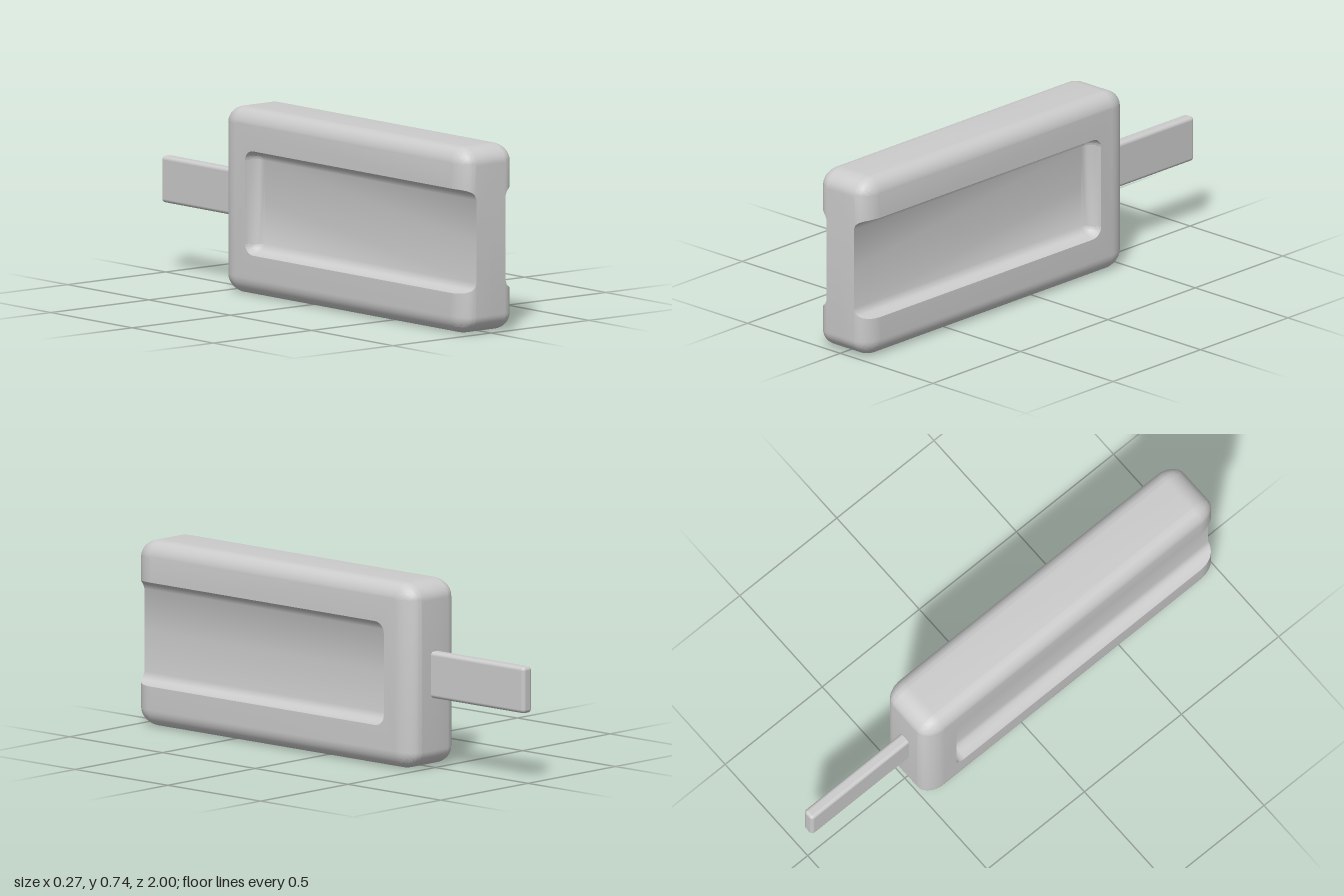
import * as THREE from 'three';
import { toCreasedNormals } from 'three/addons/utils/BufferGeometryUtils.js';
import { RoundedBoxGeometry } from 'three/addons/geometries/RoundedBoxGeometry.js';

const N = 12; // segments per rounded corner
const MID_Y = 0.37;
const FLAT_X = 0.073, BEVEL_X = 0.062; // half width of the core, bevel depth
const FRONT = 0.91, BEVEL_Z = 0.09;
const RECESS_X = 0.075; // fillet depth of the side recess
const HALF_PI = Math.PI / 2;

// Quarter ellipse in the (y, z) plane, running clockwise seen from +x
function corner(cy, cz, ry, rz, start) {
  return Array.from({ length: N + 1 }, (_, i) => {
    const t = start + (i / N) * HALF_PI;
    return [cy + ry * Math.sin(t), cz + rz * Math.cos(t)];
  });
}

// Mirror an upper half outline into a full loop at width x
function loop(x, half) {
  const lower = half.slice().reverse().map(([y, z]) => [-y, z]);
  return [...half, ...lower].map(([y, z]) => [x, MID_Y + y, z]);
}

// How far the recess fillet has opened at width x (0 floor, 1 full)
const opening = (x) => Math.sqrt(Math.max(0, 1 - (1 - (x - FLAT_X) / RECESS_X) ** 2));
const recessHalf = (x) => 0.165 + 0.043 * opening(x);
const frontZ = (x) => FRONT + BEVEL_Z * Math.sqrt(Math.max(0, 1 - ((x - FLAT_X) / BEVEL_X) ** 2));

// Outer shell outline, open at the front by the given half gap
function shellLoop(x, s, gap) {
  return loop(x, [
    [gap, FRONT + BEVEL_Z * s],
    ...corner(0.3, FRONT, 0.07 * s, BEVEL_Z * s, 0),
    ...corner(0.3, -0.41, 0.07 * s, BEVEL_Z * s, HALF_PI),
  ]);
}

// U-shaped recess outline, running out through the front
function recessLoop(x) {
  const e = opening(x);
  const start = [recessHalf(x), frontZ(x)];
  return loop(x, [
    ...Array(N + 2).fill(start),
    ...corner(0.165, -0.3, 0.043 * e, 0.05 * e, HALF_PI),
  ]);
}

// One half of the body, lofted from the middle out and down into the recess
function bodyHalf(side) {
  const rows = [shellLoop(0, 1, 0), shellLoop(FLAT_X, 1, 0)];
  for (let i = 0; i <= N; i++) {
    const a = HALF_PI * (1 - i / N);
    const x = FLAT_X + BEVEL_X * Math.cos(a);
    rows.push(shellLoop(x, Math.sin(a), recessHalf(x)));
  }
  for (let i = 0; i <= N; i++) {
    rows.push(recessLoop(FLAT_X + BEVEL_X * Math.cos((HALF_PI * i) / N)));
  }
  rows.push(rows[rows.length - 1].map(([x, , z]) => [x, MID_Y, z])); // floor

  const count = rows[0].length;
  const index = [];
  for (let i = 0; i < rows.length - 1; i++) {
    for (let j = 0; j < count - 1; j++) {
      const a = i * count + j, b = a + 1, c = a + count, d = c + 1;
      if (side > 0) index.push(a, c, b, b, c, d);
      else index.push(a, b, c, b, d, c);
    }
  }
  const points = rows.flat().flatMap(([x, y, z]) => [side * x, y, z]);
  const geometry = new THREE.BufferGeometry();
  geometry.setAttribute('position', new THREE.Float32BufferAttribute(points, 3));
  geometry.setIndex(index);
  return toCreasedNormals(geometry, 0.6);
}

export function createModel() {
  const model = new THREE.Group();
  const material = new THREE.MeshStandardMaterial({ color: 0xcccccc });

  // Rounded block with a long recess in each side
  const body = new THREE.Group();
  body.name = 'body';
  for (const side of [1, -1]) {
    const half = new THREE.Mesh(bodyHalf(side), material);
    half.name = side > 0 ? 'leftBodyHalf' : 'rightBodyHalf';
    body.add(half);
  }
  model.add(body);

  // Flat tongue sticking out of the back
  const tongue = new THREE.Mesh(new RoundedBoxGeometry(0.05, 0.185, 0.55, 4, 0.015), material);
  tongue.name = 'tongue';
  tongue.position.set(0, 0.372, -0.725);
  model.add(tongue);

  return model;
}
